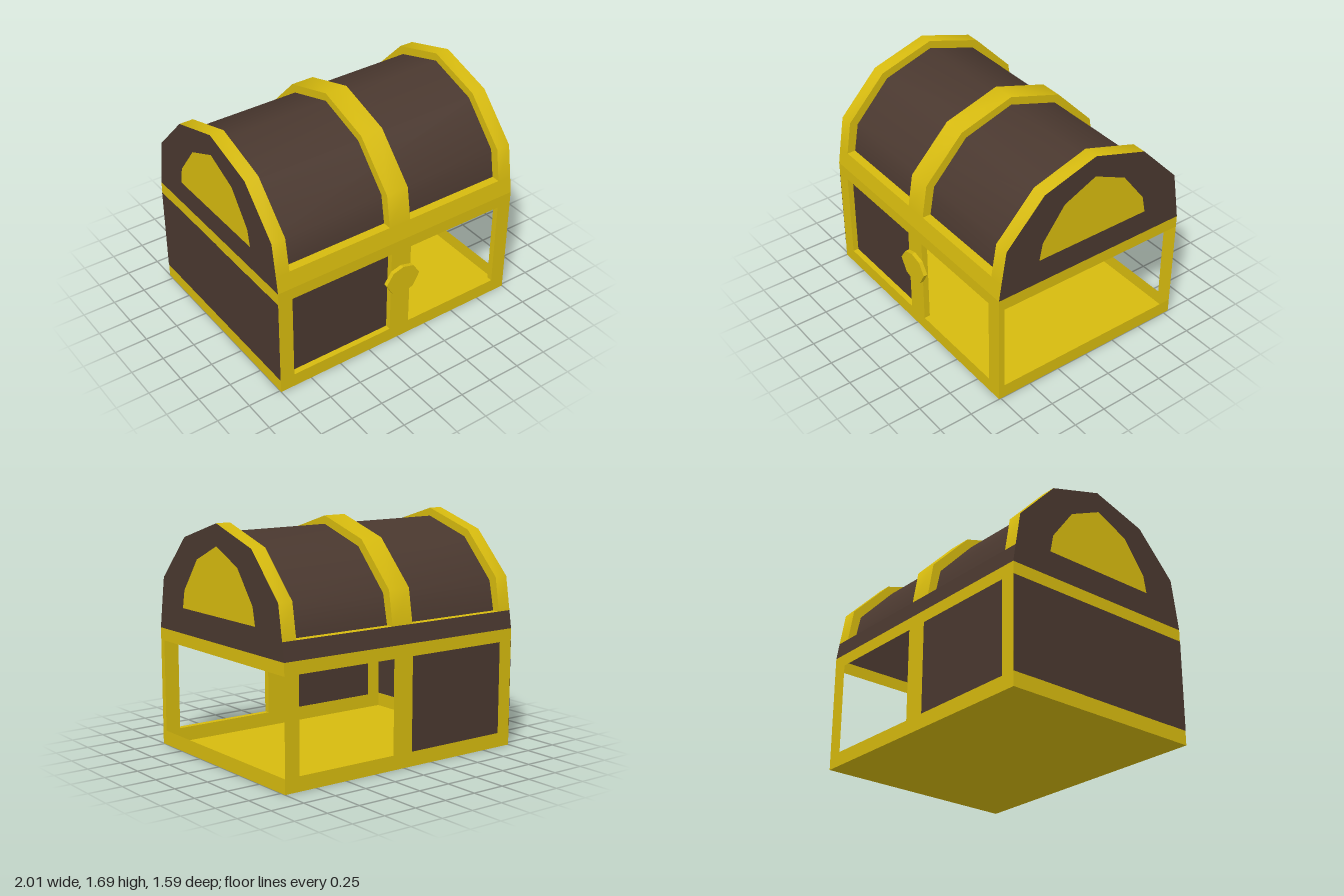
import * as THREE from 'three';

export function createModel() {
  const chest = new THREE.Group();
  chest.name = 'treasureChest';
  const gold = new THREE.MeshStandardMaterial({ color: 0xd6ba0e, side: THREE.DoubleSide });
  gold.name = 'gold';
  const wood = new THREE.MeshStandardMaterial({ color: 0x4a382f, side: THREE.DoubleSide });
  wood.name = 'dark wood';

  const FRONT = 0.765, BACK = -0.795, RIM = 0.87, LEDGE = 1.0;

  const add = (name, geometry, material) => {
    const mesh = new THREE.Mesh(geometry, material);
    mesh.name = name;
    chest.add(mesh);
    return mesh;
  };
  const shapeOf = (pts) => new THREE.Shape(pts.map(([x, y]) => new THREE.Vector2(x, y)));
  const rect = (x0, y0, x1, y1) => [[x0, y0], [x1, y0], [x1, y1], [x0, y1]];

  // Surface between two [z, y] profiles lying at two x positions
  function loft(profA, xA, profB, xB) {
    const pos = [], index = [];
    profA.forEach(([z, y], i) => {
      pos.push(xA, y, z, xB, profB[i][1], profB[i][0]);
      if (i) {
        const k = 2 * i - 2;
        index.push(k, k + 1, k + 3, k, k + 3, k + 2);
      }
    });
    const g = new THREE.BufferGeometry();
    g.setAttribute('position', new THREE.Float32BufferAttribute(pos, 3));
    g.setIndex(index);
    g.computeVertexNormals();
    return g;
  }

  // Flat plate facing +x or -x, outlined by [z, y] points
  function sidePlate(name, pts, x, material) {
    const s = Math.sign(x);
    const g = new THREE.ShapeGeometry(shapeOf(pts.map(([z, y]) => [-s * z, y])));
    g.rotateY(s * Math.PI / 2);
    add(name, g, material).position.x = x;
  }

  // Base: front and back frames share two openings
  const openings = [rect(-0.89, 0.105, -0.07, 0.78), rect(0.095, 0.105, 0.885, 0.78)];
  const frame = shapeOf(rect(-1, 0, 1, RIM));
  openings.forEach((o) => frame.holes.push(new THREE.Path(o.map(([x, y]) => new THREE.Vector2(x, y)))));

  const frontFrame = new THREE.ExtrudeGeometry(frame, { depth: 0.045, bevelEnabled: false });
  add('frontFrame', frontFrame, gold).position.z = FRONT - 0.045;
  const backFrame = new THREE.ShapeGeometry(frame).rotateY(Math.PI);
  backFrame.scale(-1, 1, 1);
  // mirrored back to the same layout, so restore the outward winding
  const idx = backFrame.index.array;
  for (let i = 0; i < idx.length; i += 3) [idx[i], idx[i + 1]] = [idx[i + 1], idx[i]];
  add('backFrame', backFrame, gold).position.z = BACK;

  // Wooden panels fill only the -x half; the +x half and side stay open
  const panel = new THREE.PlaneGeometry(0.82, 0.675);
  add('frontPanel', panel, wood).position.set(-0.48, 0.4425, FRONT - 0.043);
  const backPanel = add('backPanel', panel, wood);
  backPanel.position.set(-0.48, 0.4425, BACK);
  backPanel.rotation.y = Math.PI;
  sidePlate('leftOutPanel', rect(BACK, 0.105, FRONT, 0.78), -1.002, wood);

  // Side rails and floor
  for (const x of [-1, 1]) {
    sidePlate('lowerSideRail', rect(BACK, 0, FRONT, 0.105), x, gold);
    sidePlate('upperSideRail', rect(BACK, 0.78, FRONT, RIM), x, gold);
  }
  const floor = new THREE.PlaneGeometry(2, FRONT - BACK).rotateX(Math.PI / 2);
  add('floor', floor, gold).position.z = (FRONT + BACK) / 2;

  // Lid profiles, from the front over the top to the back
  const outer = [[0.745, LEDGE], [0.705, 1.245], [0.405, 1.56], [-0.012, 1.69],
    [-0.432, 1.56], [-0.733, 1.245], [-0.774, LEDGE]];
  const inner = [[0.68, LEDGE], [0.642, 1.215], [0.37, 1.508], [-0.012, 1.63],
    [-0.397, 1.508], [-0.67, 1.215], [-0.715, LEDGE]];
  const rimFront = [FRONT, RIM], rimBack = [BACK, RIM];
  const across = (name, prof, x0, x1, material) => add(name, loft(prof, x0, prof, x1), material);

  across('lidBarrel', inner, -1, 1, wood);
  across('lidFrontBand', [rimFront, outer[0]], -1, 1, gold);
  across('lidFrontLedge', [outer[0], inner[0]], -1, 1, gold);
  across('lidBackLedge', [inner[6], outer[6]], -1, 1, gold);
  across('lidBackBand', [outer[6], rimBack], -1, 1, wood);

  // Raised straps over the lid
  for (const [x0, x1] of [[-1, -0.895], [-0.08, 0.095], [0.89, 1]]) {
    across('strapTop', outer, x0, x1, gold);
    if (x1 < 1) add('strapSide', loft(outer, x1, inner, x1), gold);
    if (x0 > -1) add('strapSide', loft(inner, x0, outer, x0), gold);
  }

  // Lid ends with inlaid plates
  const inlay = [[0.44, 1.055], [0.415, 1.185], [0.24, 1.42], [-0.012, 1.535],
    [-0.267, 1.42], [-0.445, 1.185], [-0.472, 1.055]];
  for (const s of [-1, 1]) {
    sidePlate('lidEnd', [rimFront, ...outer, rimBack], s, wood);
    sidePlate('lidEndInlay', inlay, s * 1.003, gold);
  }

  // Eight-sided lock
  const lock = shapeOf([[-0.13, 0.545], [-0.072, 0.447], [0.01, 0.42], [0.1, 0.447],
    [0.155, 0.545], [0.1, 0.63], [0.01, 0.653], [-0.072, 0.63]]);
  add('lock', new THREE.ExtrudeGeometry(lock, { depth: 0.03, bevelEnabled: false }), gold).position.z = FRONT;

  return chest;
}
